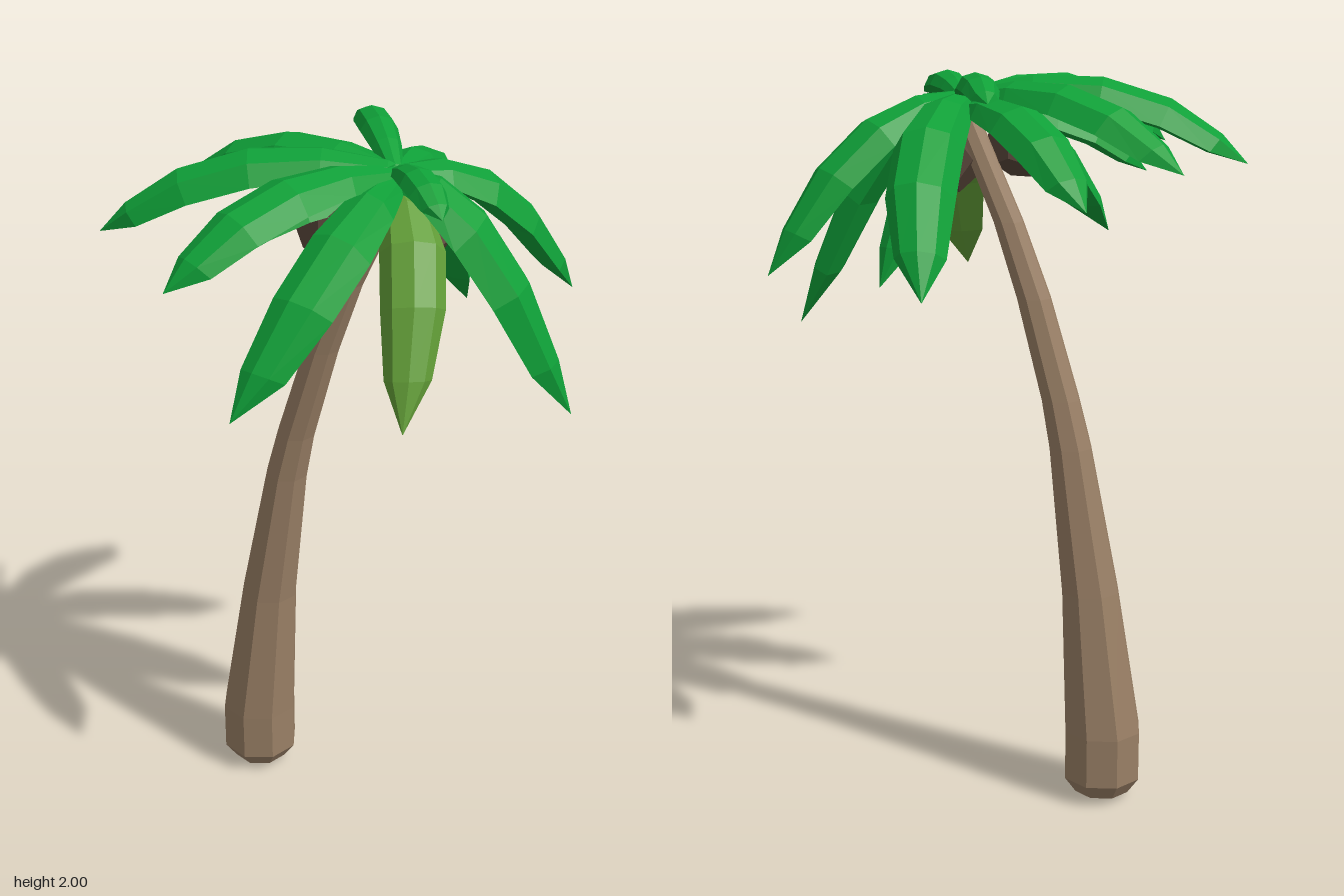
import * as THREE from 'three';

const material = (color) => new THREE.MeshStandardMaterial({ color, flatShading: true });

// Skin a list of rings (counter-clockwise about the direction of travel)
function loft(rings) {
  const pos = [];
  const tri = (a, b, c) => {
    if (new THREE.Triangle(a, b, c).getArea() > 1e-9) {
      for (const v of [a, b, c]) pos.push(v.x, v.y, v.z);
    }
  };
  for (let i = 0; i < rings.length - 1; i++) {
    const n = rings[i].length;
    for (let j = 0; j < n; j++) {
      const k = (j + 1) % n;
      tri(rings[i][j], rings[i][k], rings[i + 1][k]);
      tri(rings[i][j], rings[i + 1][k], rings[i + 1][j]);
    }
  }
  const geometry = new THREE.BufferGeometry();
  geometry.setAttribute('position', new THREE.Float32BufferAttribute(pos, 3));
  geometry.computeVertexNormals();
  return geometry;
}

function named(name, geometry, mat) {
  const mesh = new THREE.Mesh(geometry, mat);
  mesh.name = name;
  return mesh;
}

// Leaning eight-sided trunk: x, y, radius of each ring
function trunkGeometry() {
  const stations = [
    [-0.3, 0, 0], [-0.3, 0.015, 0.078], [-0.3, 0.06, 0.11], [-0.3, 0.2, 0.11],
    [-0.258, 0.6, 0.082], [-0.195, 1.0, 0.06], [-0.165, 1.13, 0.054],
    [-0.085, 1.4, 0.048], [-0.01, 1.6, 0.042], [0.12, 1.88, 0.038], [0.12, 1.88, 0],
  ];
  return loft(stations.map(([x, y, r]) => Array.from({ length: 8 }, (_, j) => {
    const a = (j / 8) * Math.PI * 2;
    return new THREE.Vector3(x + r * Math.sin(a), y, r * Math.cos(a));
  })));
}

// Thick arched frond with a ridge, drooping to a blunt point; bend curves it sideways
function frondGeometry(baseY, tip, archY, halfWidth, bend = 0) {
  const base = new THREE.Vector3(0.12, baseY, 0);
  const side = new THREE.Vector3(0, 1, 0).cross(tip.clone().sub(base).setY(0)).normalize();
  const control = base.clone().lerp(tip, 0.64).setY(archY).addScaledVector(side, bend);
  const curve = new THREE.QuadraticBezierCurve3(base, control, tip);
  const section = [[1, -0.68], [0.66, -0.1], [0, 0.1], [-0.66, -0.1], [-1, -0.68], [0, -0.85]];
  const widths = [[0, 0], [0.02, 0.48], [0.2, 0.8], [0.42, 1], [0.66, 0.98], [0.87, 0.72], [1, 0]];
  return loft(widths.map(([t, w]) => {
    const centre = curve.getPoint(t);
    const up = curve.getTangent(t).cross(side).normalize();
    return section.map(([p, q]) => centre.clone()
      .addScaledVector(side, p * w * halfWidth)
      .addScaledVector(up, q * w * halfWidth));
  }));
}

export function createModel() {
  const group = new THREE.Group();
  group.name = 'palmTree';

  const bark = material(0x9a8066);
  const green = material(0x0fa038);
  const olive = material(0x639f38);
  const shell = material(0x5c493d);

  group.add(named('trunk', trunkGeometry(), bark));

  // Fronds: base height, tip x, y, z, arch height, half width, sideways bend
  const fronds = [
    [1.93, -0.08, 1.5, -0.63, 1.96, 0.09, -0.09],
    [1.93, 0.46, 1.49, -0.45, 1.96, 0.092, 0],
    [1.93, 0.58, 1.29, -0.1, 1.96, 0.11, -0.1],
    [1.93, 0.33, 1.9, 0.22, 2.03, 0.05, 0],
    [1.92, -0.04, 1.48, 0.63, 1.95, 0.092, 0.1],
    [1.93, -0.23, 1.76, 0.58, 2.05, 0.088, 0],
    [1.94, -0.58, 1.75, 0.27, 2.06, 0.092, 0],
    [1.87, -0.28, 1.71, 0.31, 1.96, 0.075, 0],
    [1.93, -0.53, 1.76, -0.08, 2.05, 0.09, 0],
    [1.9, -0.37, 1.69, -0.32, 2.0, 0.085, 0],
    [1.93, -0.11, 1.94, -0.33, 2.06, 0.05, 0],
    [1.86, 0.2, 1.46, -0.33, 1.87, 0.068, 0],
  ];
  const crown = new THREE.Group();
  crown.name = 'crown';
  for (const [baseY, x, y, z, arch, width, bend] of fronds) {
    crown.add(named('frond',
      frondGeometry(baseY, new THREE.Vector3(x, y, z), arch, width, bend), green));
  }
  crown.add(named('youngFrond',
    frondGeometry(1.89, new THREE.Vector3(0.3, 1.4, 0.38), 1.91, 0.082, 0.07), olive));
  group.add(crown);

  // Coconuts tucked below the crown
  for (const [x, y, z] of [[-0.01, 1.8, 0.09], [0.17, 1.76, 0]]) {
    const nut = named('coconut', new THREE.DodecahedronGeometry(0.1), shell);
    nut.position.set(x, y, z);
    group.add(nut);
  }

  return group;
}
